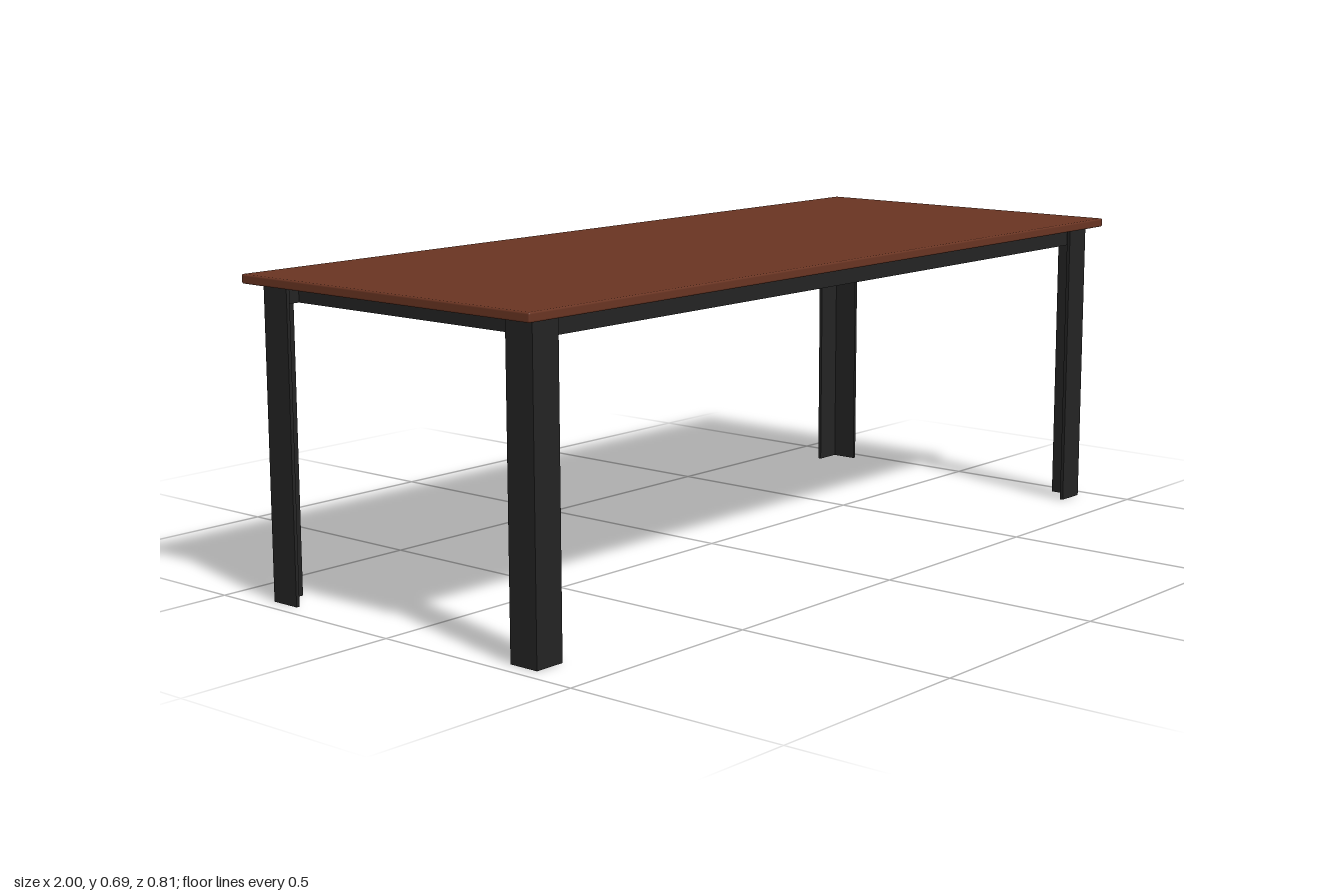
import * as THREE from 'three';
import { RoundedBoxGeometry } from 'three/addons/geometries/RoundedBoxGeometry.js';

export function createModel() {
  const wood = new THREE.MeshStandardMaterial({ color: 0x693422 });
  wood.name = 'brownWood';
  const steel = new THREE.MeshStandardMaterial({ color: 0x232323 });
  steel.name = 'blackSteel';

  const table = new THREE.Group();
  table.name = 'table';
  const add = (name, geometry, material, x, y, z) => {
    const mesh = new THREE.Mesh(geometry, material);
    mesh.name = name;
    mesh.position.set(x, y, z);
    table.add(mesh);
    return mesh;
  };

  // Thin top with softened edges
  const legHeight = 0.67;
  add('tableTop', new RoundedBoxGeometry(2, 0.02, 0.814, 2, 0.004), wood, 0, legHeight + 0.01, 0);

  // Angle-iron legs: L sections with the corner facing outwards
  const legX = 0.965, legZ = 0.38, w = 0.07, t = 0.008;
  for (const sx of [1, -1]) {
    for (const sz of [1, -1]) {
      const outline = [[0, 0], [w, 0], [w, t], [t, t], [t, w], [0, w]]
        .map(([a, b]) => new THREE.Vector2(sx * (legX - a), -sz * (legZ - b)));
      const geometry = new THREE.ExtrudeGeometry(new THREE.Shape(outline), { depth: legHeight, bevelEnabled: false });
      geometry.rotateX(-Math.PI / 2);
      const name = (sz > 0 ? 'front' : 'back') + (sx > 0 ? 'Left' : 'Right') + 'Leg';
      add(name, geometry, steel, 0, 0, 0);
    }
  }

  // Square rails set inside the legs, under the top
  const r = 0.04, railX = 0.9, railZ = 0.345, railY = legHeight - r / 2;
  for (const s of [1, -1]) {
    add(s > 0 ? 'frontRail' : 'backRail', new THREE.BoxGeometry(2 * (legX - t), r, r), steel, 0, railY, s * railZ);
    add(s > 0 ? 'leftRail' : 'rightRail', new THREE.BoxGeometry(r, r, 2 * railZ - r), steel, s * railX, railY, 0);
  }
  return table;
}
